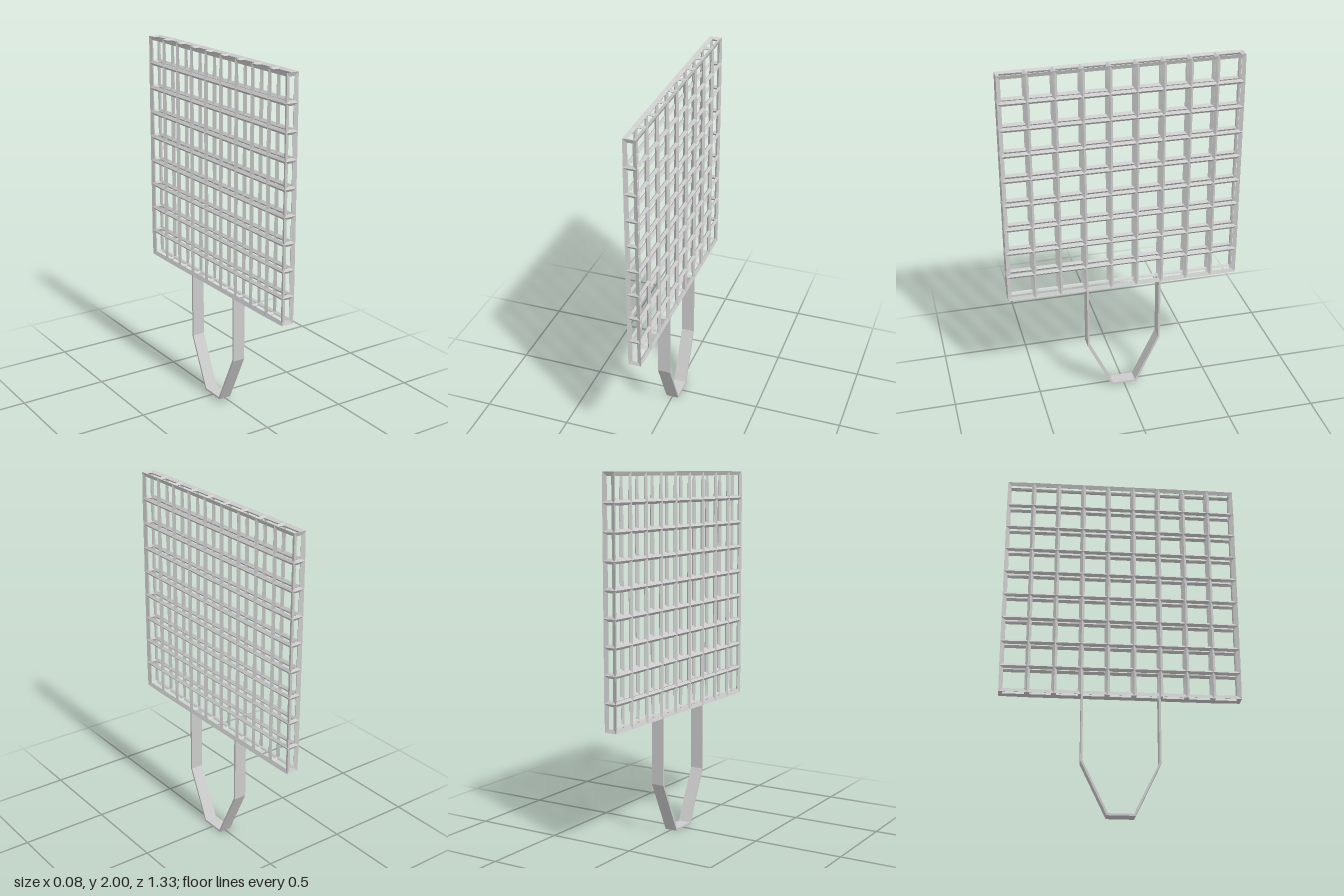
import * as THREE from 'three';

const CELLS = 9;
const HALF = 0.655;      // half side of the square lattice
const DEPTH = 0.0275;    // half distance between the two lattices
const CENTER_Y = 1.335;
const RIDGE = 0.0125;    // how far bar ridges stand out of the surface
const INSET = 0.0138;    // half width of a bar

const material = () => new THREE.MeshStandardMaterial({ color: 0xcccccc, flatShading: true });

// Offset direction at a box-surface point: the average of the sides that meet there
function ridgeNormal(p) {
  const side = (v, limit) => (Math.abs(v) > limit - 1e-5 ? Math.sign(v) : 0);
  return new THREE.Vector3(side(p.x, DEPTH), side(p.y, HALF), side(p.z, HALF)).normalize();
}

// Bars round one cell: four outer and four inner sloped strips around its opening
function addCell(out, origin, u, v) {
  const uDir = u.clone().normalize().multiplyScalar(INSET);
  const vDir = v.clone().normalize().multiplyScalar(INSET);
  const corners = [[0, 0], [1, 0], [1, 1], [0, 1]].map(([a, b]) => {
    const p = origin.clone().addScaledVector(u, a).addScaledVector(v, b);
    const n = ridgeNormal(p);
    return {
      outer: p.clone().addScaledVector(n, RIDGE),
      inner: p.clone().addScaledVector(n, -RIDGE),
      hole: p.clone().addScaledVector(uDir, 1 - 2 * a).addScaledVector(vDir, 1 - 2 * b),
    };
  });
  const quad = (a, b, c, d) => [a, b, c, a, c, d].forEach((p) => out.push(p.x, p.y, p.z));
  corners.forEach((a, i) => {
    const b = corners[(i + 1) % 4];
    quad(a.outer, b.outer, b.hole, a.hole);
    quad(b.inner, a.inner, a.hole, b.hole);
  });
}

// One side of the box, cut into nu by nv cells; u cross v points outward
function latticeSide(name, u, v, nu, nv) {
  const half = new THREE.Vector3(DEPTH, HALF, HALF);
  const U = new THREE.Vector3(...u).multiply(half);
  const V = new THREE.Vector3(...v).multiply(half);
  const N = new THREE.Vector3(...u).cross(new THREE.Vector3(...v)).multiply(half);
  const start = N.sub(U).sub(V);
  const du = U.clone().multiplyScalar(2 / nu);
  const dv = V.clone().multiplyScalar(2 / nv);
  const out = [];
  for (let i = 0; i < nu; i++) {
    for (let j = 0; j < nv; j++) {
      addCell(out, start.clone().addScaledVector(du, i).addScaledVector(dv, j), du, dv);
    }
  }
  const geometry = new THREE.BufferGeometry();
  geometry.setAttribute('position', new THREE.Float32BufferAttribute(out, 3));
  geometry.computeVertexNormals();
  const mesh = new THREE.Mesh(geometry, material());
  mesh.name = name;
  return mesh;
}

// Bent flat strip that forms the handle loop
function handle() {
  const outer = [[0.216, 0.68], [0.216, 0.295], [0.075, 0]];
  const inner = [[0.067, 0.011], [0.205, 0.298], [0.205, 0.68]];
  const mirror = (points) => points.map(([z, y]) => [-z, y]).reverse();
  const outline = [...outer, ...mirror(outer), ...mirror(inner), ...inner];
  const shape = new THREE.Shape(outline.map(([z, y]) => new THREE.Vector2(z, y)));
  const width = 0.073;
  const geometry = new THREE.ExtrudeGeometry(shape, { depth: width, bevelEnabled: false });
  geometry.translate(0, 0, -width / 2).rotateY(-Math.PI / 2);
  const mesh = new THREE.Mesh(geometry, material());
  mesh.name = 'handle';
  return mesh;
}

export function createModel() {
  const model = new THREE.Group();
  model.name = 'latticePaddle';

  // Two square lattices joined by short struts round the rim
  const head = new THREE.Group();
  head.name = 'latticeHead';
  head.position.y = CENTER_Y;
  head.add(
    latticeSide('leftLattice', [0, 1, 0], [0, 0, 1], CELLS, CELLS),
    latticeSide('rightLattice', [0, 0, 1], [0, 1, 0], CELLS, CELLS),
    latticeSide('topRim', [0, 0, 1], [1, 0, 0], CELLS, 1),
    latticeSide('bottomRim', [1, 0, 0], [0, 0, 1], 1, CELLS),
    latticeSide('frontRim', [1, 0, 0], [0, 1, 0], 1, CELLS),
    latticeSide('backRim', [0, 1, 0], [1, 0, 0], CELLS, 1),
  );

  model.add(head, handle());
  return model;
}
